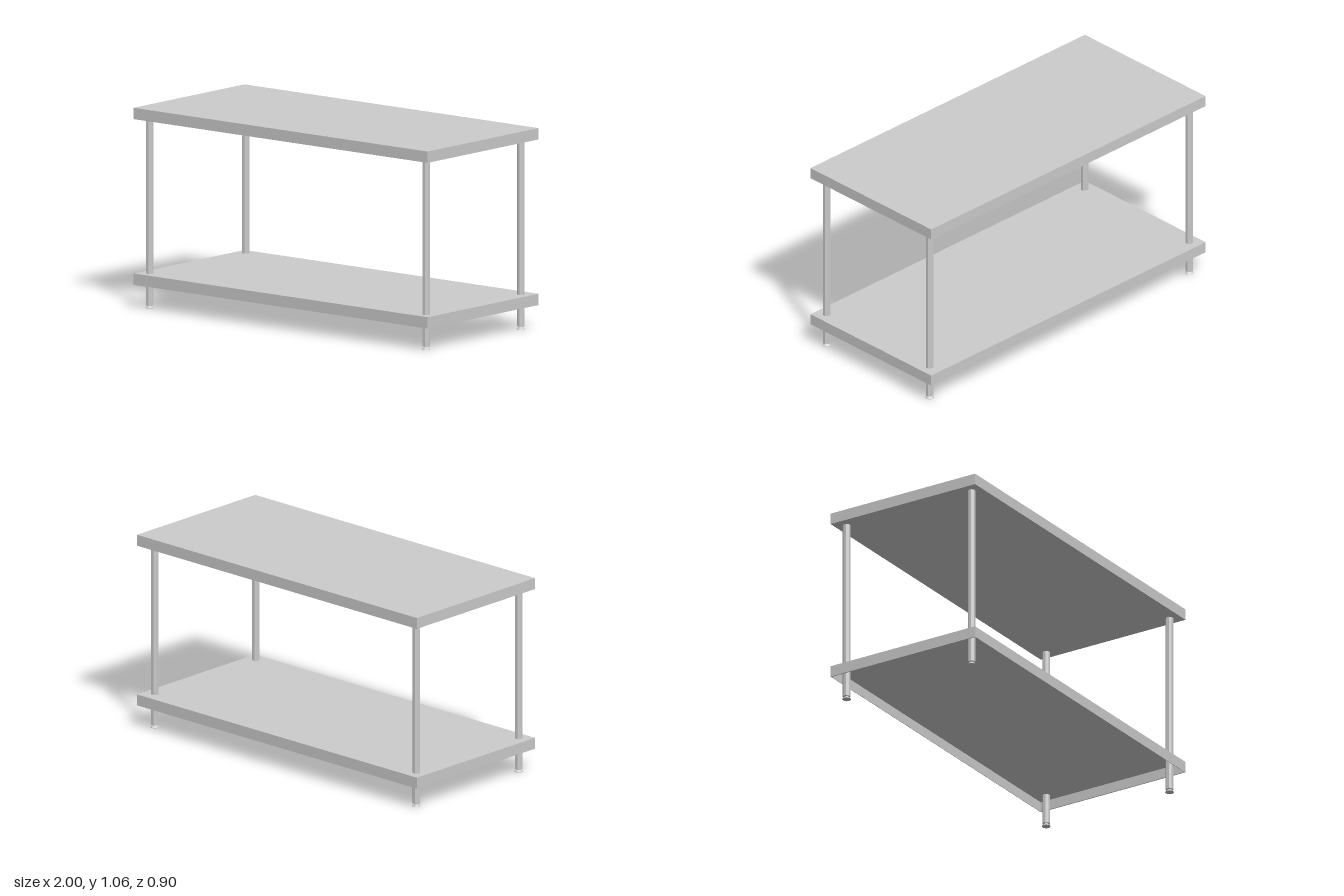
import * as THREE from 'three';

const material = new THREE.MeshStandardMaterial({ color: 0xcccccc, flatShading: true });

function addMesh(parent, name, geometry, y) {
  const mesh = new THREE.Mesh(geometry, material);
  mesh.name = name;
  mesh.position.y = y;
  parent.add(mesh);
}

// Revolve a half profile around four sides: [fraction of half width, height]
function squareLathe(profile, width, depth) {
  const points = profile.map(([f, y]) => new THREE.Vector2(f * Math.SQRT1_2, y));
  return new THREE.LatheGeometry(points, 4, Math.PI / 4).scale(width, 1, depth);
}

export function createModel() {
  const group = new THREE.Group();
  group.name = 'workTable';

  // Solid table top
  addMesh(group, 'tableTop', new THREE.BoxGeometry(2, 0.06, 0.9), 1.03);

  // Lower shelf: thin tray with its rim folded down, open underneath
  const shelf = squareLathe([
    [0, 0.055], [0.994, 0.055], [0.994, 0], [1, 0], [1, 0.06], [0, 0.06],
  ], 2, 0.9);
  addMesh(group, 'lowerShelf', shelf, 0.123);

  // Eight-sided leg, running from its foot to the underside of the top
  const legBottom = 0.015, legTop = 1.0;
  const tube = new THREE.CylinderGeometry(0.0207, 0.0207, legTop - legBottom, 8);
  tube.rotateY(Math.PI / 8);

  // Levelling foot: flared base, narrow neck
  const foot = new THREE.LatheGeometry([
    [0, 0], [0.023, 0], [0.023, 0.002], [0.012, 0.011], [0.012, 0.016],
  ].map(([r, y]) => new THREE.Vector2(r, y)), 12);

  // One rear leg is set slightly further in
  const legs = [
    ['frontLeftLeg', 0.94, 0.39],
    ['frontRightLeg', -0.94, 0.39],
    ['backLeftLeg', 0.94, -0.378],
    ['backRightLeg', -0.94, -0.389],
  ];
  for (const [name, x, z] of legs) {
    const leg = new THREE.Group();
    leg.name = name;
    leg.position.set(x, 0, z);
    addMesh(leg, 'legTube', tube, (legBottom + legTop) / 2);
    addMesh(leg, 'foot', foot, 0);
    group.add(leg);
  }
  return group;
}
